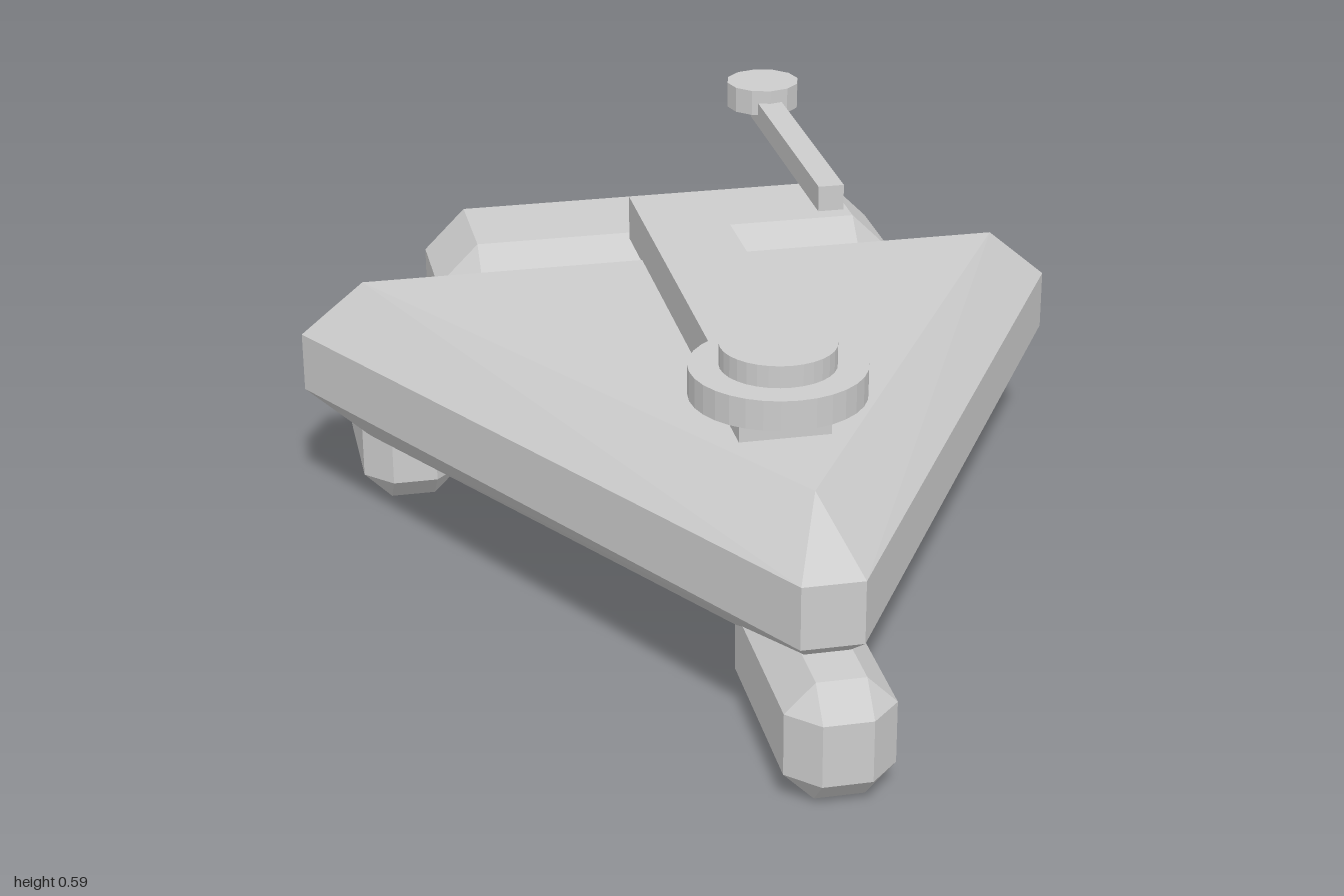
import * as THREE from 'three';
import { ConvexGeometry } from 'three/addons/geometries/ConvexGeometry.js';

// Box with every edge cut off by c
function chamferBox(w, h, d, c) {
  const pts = [];
  for (const sx of [-1, 1]) for (const sy of [-1, 1]) for (const sz of [-1, 1]) {
    const x = w / 2, y = h / 2, z = d / 2;
    pts.push(
      new THREE.Vector3(sx * x, sy * (y - c), sz * (z - c)),
      new THREE.Vector3(sx * (x - c), sy * y, sz * (z - c)),
      new THREE.Vector3(sx * (x - c), sy * (y - c), sz * z));
  }
  return new ConvexGeometry(pts);
}

// Triangular hull: small flat top and bottom, wide belt with clipped corners
function hullGeometry() {
  const inner = [[0, 0.77], [0.6, -0.245], [-0.6, -0.245]];
  const belt = [];
  for (const s of [-1, 1]) belt.push([s * 0.052, 0.895], [s * 0.715, -0.26], [s * 0.663, -0.35]);
  const pts = [];
  const ring = (list, y) => list.forEach(([x, z]) => pts.push(new THREE.Vector3(x, y, z)));
  ring(inner, 0.135);
  ring(belt, 0.235);
  ring(belt, 0.345);
  ring(inner, 0.445);
  return new ConvexGeometry(pts);
}

export function createModel() {
  const group = new THREE.Group();
  const grey = new THREE.MeshStandardMaterial({ color: 0xcccccc, flatShading: true });
  grey.name = 'light grey';

  const add = (name, geometry, x, y, z) => {
    const mesh = new THREE.Mesh(geometry, grey);
    mesh.name = name;
    mesh.position.set(x, y, z);
    group.add(mesh);
  };

  add('hull', hullGeometry(), 0, 0, 0);

  // Three landing pods
  const pod = chamferBox(0.182, 0.208, 0.44, 0.05);
  add('frontPod', pod, 0, 0.104, 0.78);
  add('leftRearPod', pod, 0.523, 0.104, -0.425);
  add('rightRearPod', pod, -0.523, 0.104, -0.425);

  // Engine block across the back
  add('engineBlock', chamferBox(0.89, 0.285, 0.35, 0.078), 0, 0.3025, -0.487);

  // Spine and turret
  add('spine', new THREE.BoxGeometry(0.155, 0.085, 0.945), 0, 0.4825, 0.1);
  add('turretBase', new THREE.CylinderGeometry(0.148, 0.148, 0.052, 32), 0, 0.527, 0.517);
  add('turretCap', new THREE.CylinderGeometry(0.097, 0.097, 0.04, 32), 0, 0.571, 0.517);

  // Sensor arm with round tip
  add('sensorArm', new THREE.BoxGeometry(0.05, 0.05, 0.575), 0.312, 0.5, -0.635);
  add('sensorDisc', new THREE.CylinderGeometry(0.075, 0.075, 0.052, 12), 0.312, 0.526, -0.925);

  return group;
}
